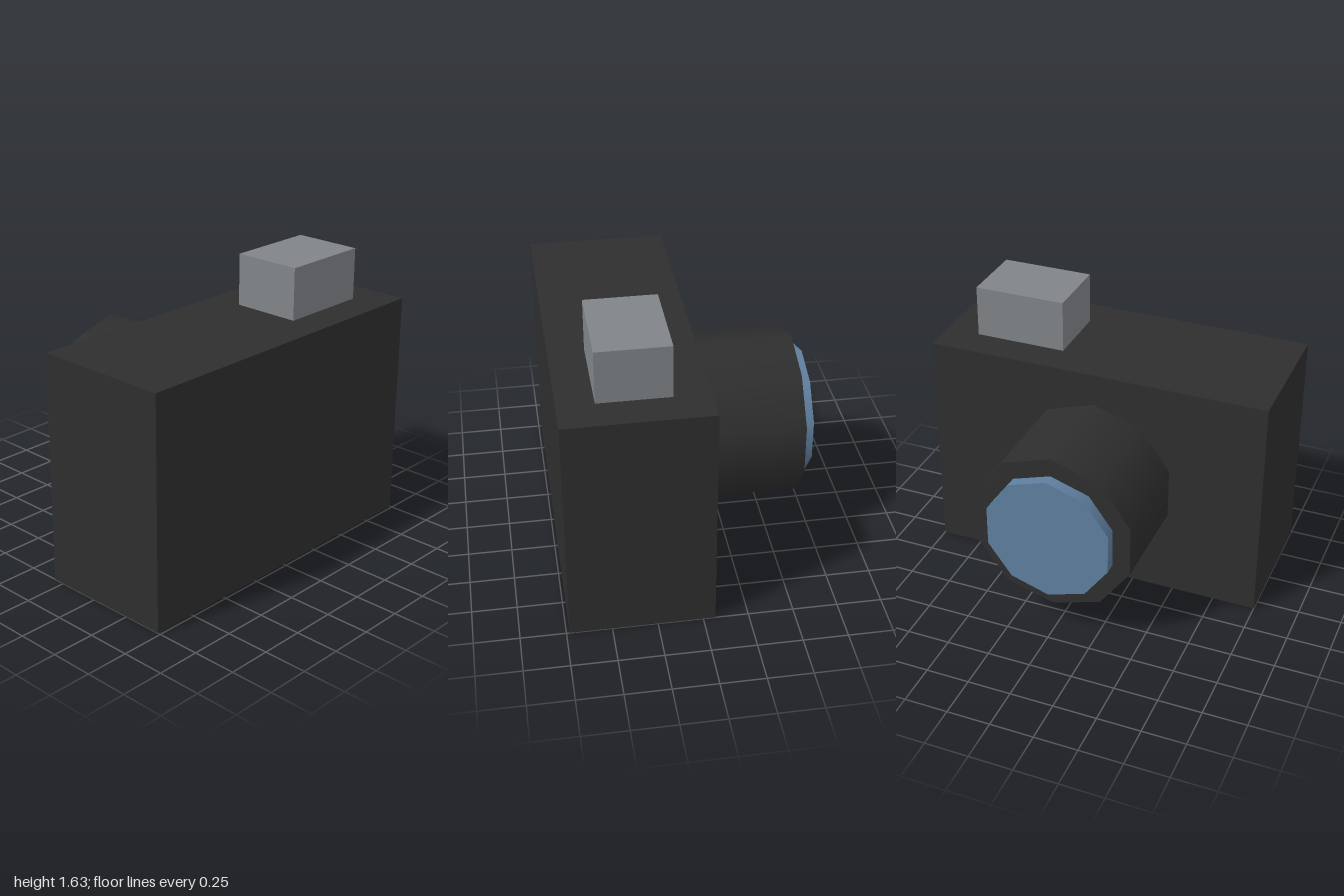
import * as THREE from 'three';

const material = (name, color) => {
  const m = new THREE.MeshStandardMaterial({ color });
  m.name = name;
  return m;
};

export function createModel() {
  const black = material('black casing', 0x2e2e2e);
  const grey = material('grey housing', 0x808488);
  const blue = material('blue glass', 0x5f7f9f);

  const model = new THREE.Group();
  model.name = 'camera';

  const add = (name, geometry, mat, x, y, z) => {
    const mesh = new THREE.Mesh(geometry, mat);
    mesh.name = name;
    mesh.position.set(x, y, z);
    model.add(mesh);
  };

  // Ten-sided, smooth-shaded barrel lying along z
  const barrel = (radius, length) =>
    new THREE.CylinderGeometry(radius, radius, length, 10).rotateX(-Math.PI / 2);

  // Casing and the box on its top
  add('body', new THREE.BoxGeometry(2, 1.333, 0.8), black, 0, 0.6667, 0.333);
  add('viewfinder', new THREE.BoxGeometry(0.533, 0.3, 0.4), grey, 0.533, 1.483, 0.333);

  // Lens pointing to -z, with the glass standing proud of its end
  add('lensBarrel', barrel(0.48, 0.6), black, 0, 0.667, -0.367);
  add('lensGlass', barrel(0.373, 0.0667), blue, 0, 0.667, -0.7);

  return model;
}
